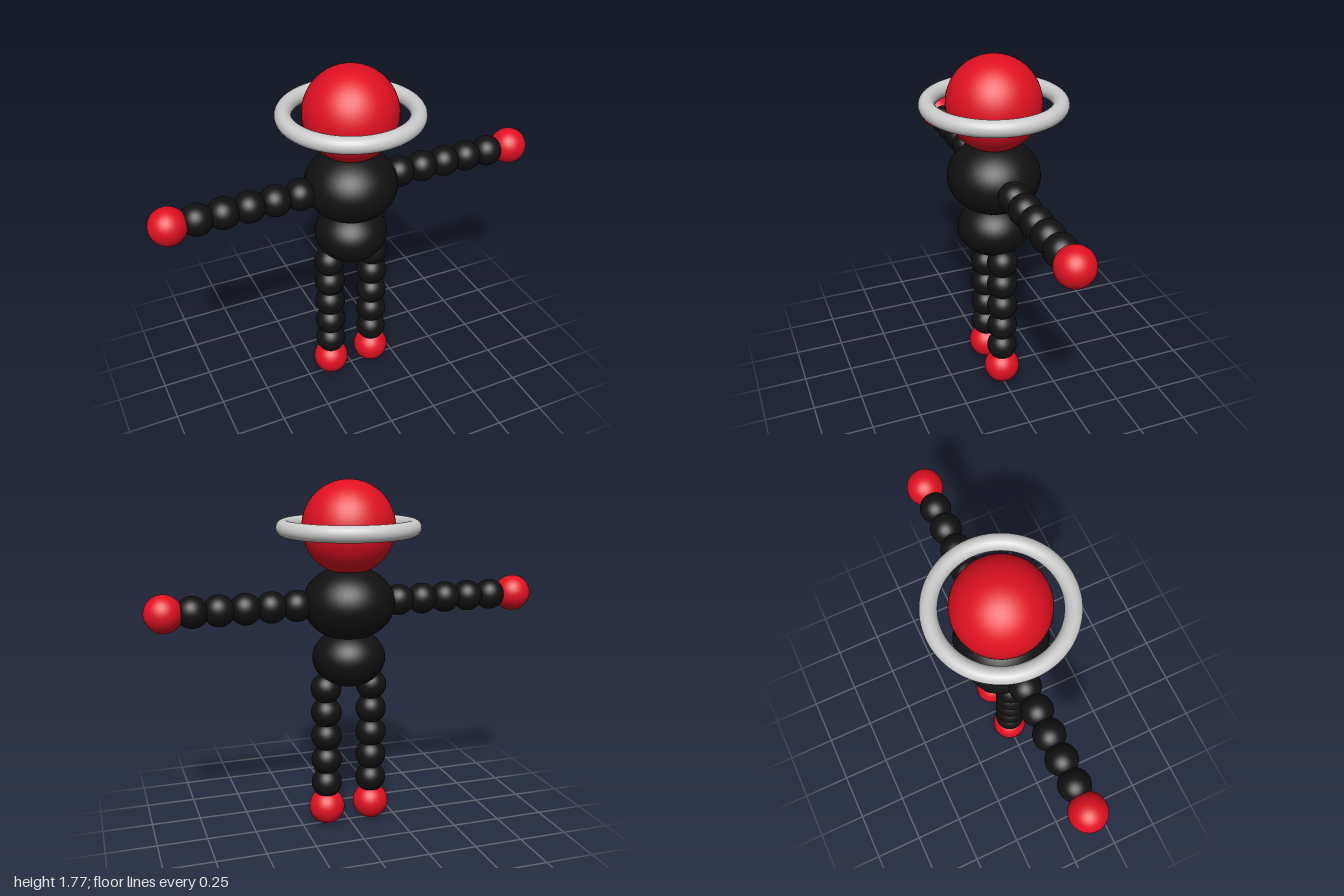
import * as THREE from 'three';

const red = new THREE.MeshStandardMaterial({ color: 0xe01022 });
const black = new THREE.MeshStandardMaterial({ color: 0x111111 });
const grey = new THREE.MeshStandardMaterial({ color: 0xcccccc });

export function createModel() {
  const model = new THREE.Group();
  model.name = 'beadFigure';

  function ball(parent, name, radius, material, x, y, squash = 1) {
    const mesh = new THREE.Mesh(new THREE.SphereGeometry(radius, 48, 32), material);
    mesh.name = name;
    mesh.position.set(x, y, 0);
    mesh.scale.y = squash;
    parent.add(mesh);
  }

  // Head with a ring around its middle
  ball(model, 'head', 0.23, red, 0, 1.543);
  const ring = new THREE.Mesh(new THREE.TorusGeometry(0.315, 0.04, 24, 96), grey);
  ring.name = 'headRing';
  ring.rotation.x = Math.PI / 2;
  ring.position.y = 1.543;
  model.add(ring);

  // Flattened body balls
  ball(model, 'chest', 0.23, black, 0, 1.17, 0.8);
  ball(model, 'hips', 0.184, black, 0, 0.892, 0.8);

  // Beaded limbs, mirrored left and right
  const beadRadius = 0.078, spacing = 0.1273;
  for (const [side, s] of [['left', 1], ['right', -1]]) {
    const arm = new THREE.Group();
    arm.name = side + 'Arm';
    const leg = new THREE.Group();
    leg.name = side + 'Leg';
    for (let i = 0; i < 5; i++) {
      ball(arm, 'armBead', beadRadius, black, s * (0.265 + i * spacing), 1.17);
      ball(leg, 'legBead', beadRadius, black, s * 0.12, 0.228 + i * spacing);
    }
    ball(arm, side + 'Hand', 0.092, red, s * 0.908, 1.17);
    ball(leg, side + 'Foot', 0.092, red, s * 0.12, 0.094);
    model.add(arm, leg);
  }
  return model;
}
